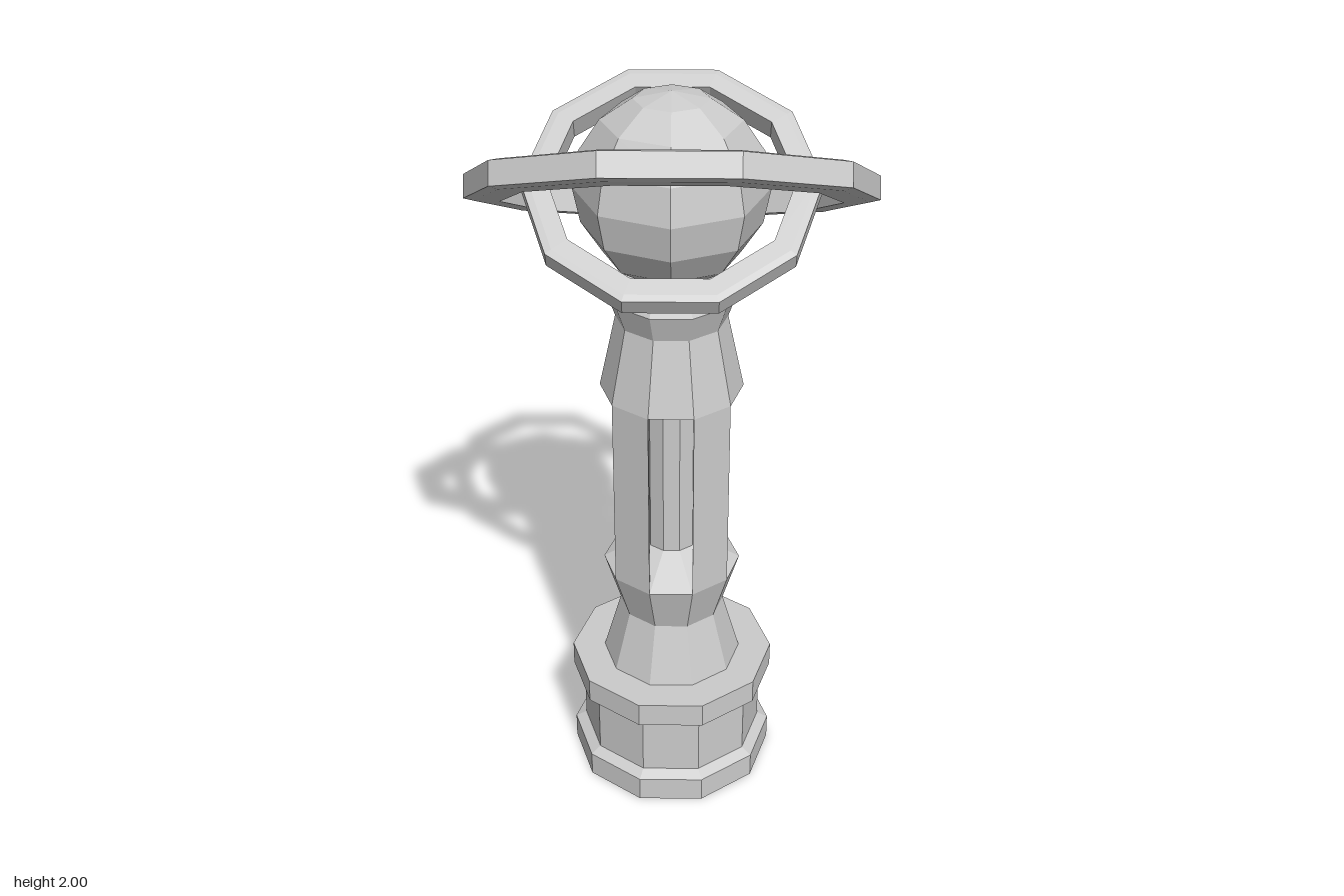
import * as THREE from 'three';

const SIDES = 10;
const material = new THREE.MeshStandardMaterial({ color: 0xcccccc, flatShading: true });

function add(parent, name, geometry) {
  const mesh = new THREE.Mesh(geometry, material);
  mesh.name = name;
  parent.add(mesh);
  return mesh;
}

// Ten-sided turned form with a corner on +x; profile is [radius, height], bottom to top
function turned(profile) {
  const points = profile.map(([r, y]) => new THREE.Vector2(r, y));
  return new THREE.LatheGeometry(points, SIDES, Math.PI / 2);
}

// Ring section: flat inner wall, slightly tapered towards the rim
function ringSection(inner, outer, half) {
  const shoulder = outer - (outer - inner) * 0.28;
  return [
    [inner, -half], [shoulder, -half * 0.95], [outer, -half * 0.8],
    [outer, half * 0.8], [shoulder, half * 0.95], [inner, half], [inner, -half],
  ];
}

export function createModel() {
  const model = new THREE.Group();
  model.name = 'armillaryTrophy';

  // Plinth with a flange at the bottom and top
  add(model, 'base', turned([
    [0, 0], [0.28, 0], [0.28, 0.072], [0.25, 0.088],
    [0.25, 0.262], [0.28, 0.275], [0.28, 0.345], [0, 0.345],
  ]));

  // Waisted foot, slim core and flared head of the column
  add(model, 'column', turned([
    [0, 0.345], [0.19, 0.345], [0.142, 0.515], [0.185, 0.655],
    [0.07, 0.72], [0.07, 1.14], [0.185, 1.2],
    [0.142, 1.4], [0.167, 1.472], [0.158, 1.488],
    [0.125, 1.488], [0.085, 1.45], [0, 1.45],
  ]));

  // Four three-cornered posts around the core
  const posts = new THREE.Group();
  posts.name = 'posts';
  model.add(posts);
  const r = 0.185;
  const farX = r * Math.cos(Math.PI / 5), nearX = r * Math.cos(Math.PI * 0.4);
  const farZ = r * Math.sin(Math.PI * 0.4), nearZ = r * Math.sin(Math.PI / 5);
  for (const sx of [-1, 1]) {
    for (const sz of [-1, 1]) {
      const shape = new THREE.Shape([
        new THREE.Vector2(sx * farX, sz * nearZ),
        new THREE.Vector2(sx * nearX, sz * farZ),
        new THREE.Vector2(sx * nearX, sz * nearZ),
      ]);
      const geometry = new THREE.ExtrudeGeometry(shape, { depth: 0.545, bevelEnabled: false });
      geometry.rotateX(-Math.PI / 2);
      add(posts, 'post', geometry).position.y = 0.655;
    }
  }

  // Globe with two crossed rings
  const globe = new THREE.Group();
  globe.name = 'globeAndRings';
  globe.position.y = 1.745;
  model.add(globe);
  add(globe, 'globe', new THREE.SphereGeometry(0.24, 8, 8));
  add(globe, 'outerRing', turned(ringSection(0.412, 0.5, 0.036))).rotation.x = -0.505;
  add(globe, 'innerRing', turned(ringSection(0.298, 0.362, 0.029))).rotation.x = 0.51;

  return model;
}
